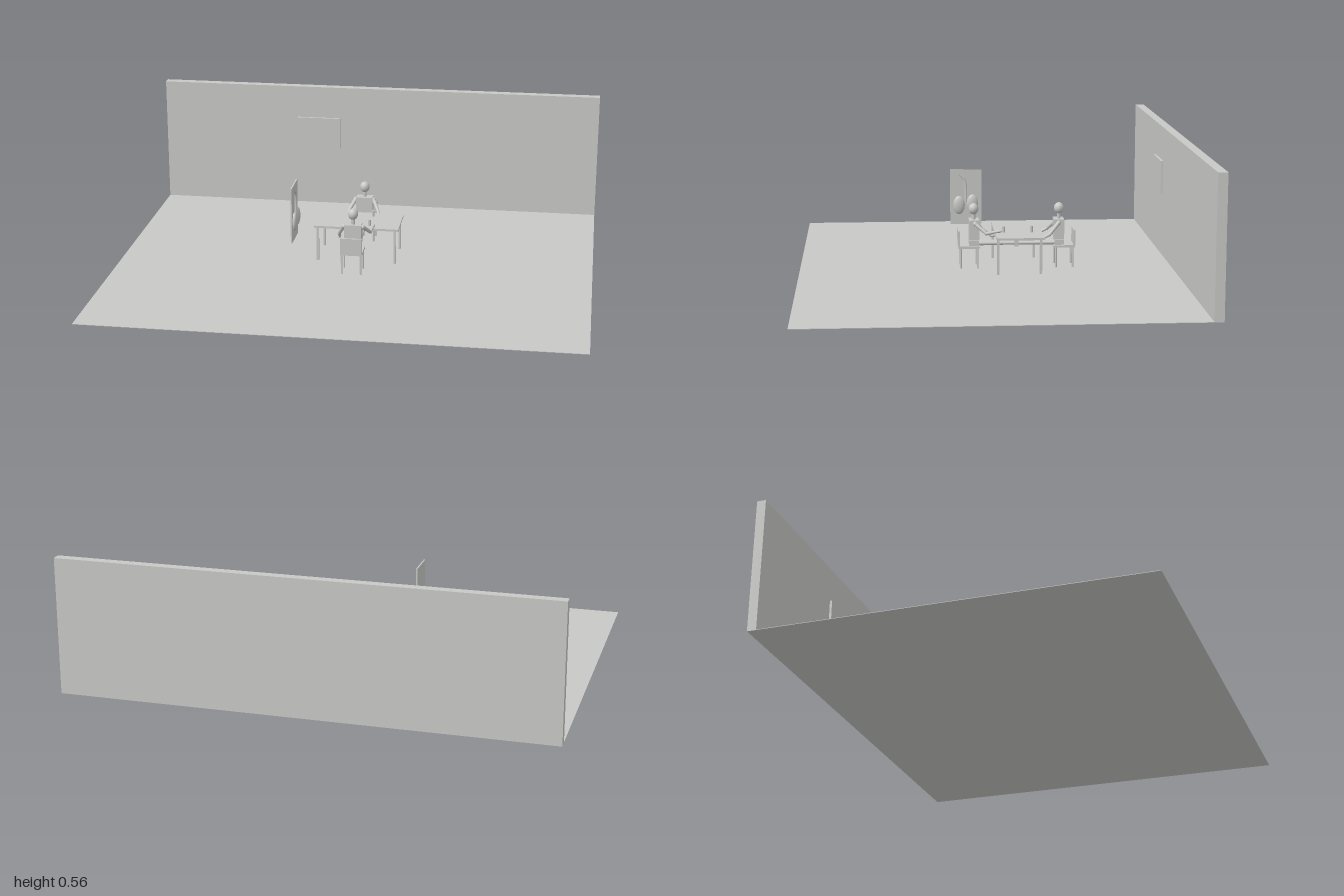
import * as THREE from 'three';

const clay = new THREE.MeshStandardMaterial({ color: 0xc8c8c6 });
clay.name = 'pale grey';

function add(parent, name, geometry, x = 0, y = 0, z = 0) {
  const mesh = new THREE.Mesh(geometry, clay);
  mesh.name = name;
  mesh.position.set(x, y, z);
  parent.add(mesh);
  return mesh;
}

// Box given by its ranges along each axis
function box(parent, name, x0, x1, y0, y1, z0, z1) {
  return add(parent, name, new THREE.BoxGeometry(x1 - x0, y1 - y0, z1 - z0),
    (x0 + x1) / 2, (y0 + y1) / 2, (z0 + z1) / 2);
}

// Round limb between two points
function limb(parent, name, a, b, r0, r1) {
  const from = new THREE.Vector3(...a), to = new THREE.Vector3(...b);
  const dir = to.clone().sub(from);
  const mesh = add(parent, name, new THREE.CylinderGeometry(r1, r0, dir.length(), 12));
  mesh.position.copy(from).add(to).multiplyScalar(0.5);
  mesh.quaternion.setFromUnitVectors(new THREE.Vector3(0, 1, 0), dir.normalize());
  return mesh;
}

function ball(parent, name, x, y, z, rx, ry = rx, rz = rx) {
  const mesh = add(parent, name, new THREE.SphereGeometry(1, 20, 14), x, y, z);
  mesh.scale.set(rx, ry, rz);
  return mesh;
}

function makeChair() {
  const chair = new THREE.Group();
  chair.name = 'chair';
  box(chair, 'seat', -0.046, 0.046, 0.087, 0.097, 0.155, 0.245);
  box(chair, 'chairBack', -0.046, 0.046, 0.097, 0.162, 0.239, 0.247);
  for (const x of [-0.04, 0.04])
    for (const z of [0.165, 0.236])
      add(chair, 'chairLeg', new THREE.CylinderGeometry(0.004, 0.004, 0.087, 10), x, 0.0435, z);
  return chair;
}

// Seated figure facing -z, with straight legs below the table
function makeFigure(arms) {
  const figure = new THREE.Group();
  figure.name = 'figure';
  box(figure, 'hips', -0.035, 0.035, 0.087, 0.12, 0.16, 0.2);
  box(figure, 'torso', -0.036, 0.036, 0.122, 0.205, 0.158, 0.2);
  limb(figure, 'neck', [0, 0.2, 0.18], [0, 0.235, 0.18], 0.008, 0.008);
  ball(figure, 'head', 0, 0.249, 0.18, 0.021, 0.024, 0.021);
  for (const x of [-0.016, 0.016]) {
    limb(figure, 'leg', [x, 0.104, 0.165], [x, 0.104, 0.005], 0.009, 0.007);
    box(figure, 'foot', x - 0.007, x + 0.007, 0.09, 0.135, -0.006, 0.008);
  }
  for (const [shoulder, elbow, hand] of arms) {
    ball(figure, 'shoulder', ...shoulder, 0.01);
    limb(figure, 'upperArm', shoulder, elbow, 0.009, 0.007);
    ball(figure, 'elbow', ...elbow, 0.0075);
    limb(figure, 'forearm', elbow, hand, 0.007, 0.005);
    ball(figure, 'hand', ...hand, 0.007, 0.006, 0.012);
  }
  return figure;
}

export function createModel() {
  const room = new THREE.Group();
  room.name = 'room';

  // Floor planks and back wall
  for (let i = 0; i < 10; i++)
    box(room, 'floorPlank', -1 + i * 0.2, -0.8 + i * 0.2, 0, 0.002, -0.8, 0.8);
  box(room, 'backWall', -1, 1, 0, 0.56, -0.8, -0.762);
  box(room, 'wallPicture', -0.38, -0.18, 0.272, 0.415, -0.762, -0.752);

  // Table with two cups
  const table = new THREE.Group();
  table.name = 'table';
  room.add(table);
  box(table, 'tableTop', -0.18, 0.18, 0.148, 0.157, -0.214, -0.016);
  for (const x of [-0.165, 0.165])
    for (const z of [-0.2, -0.022])
      box(table, 'tableLeg', x - 0.005, x + 0.005, 0, 0.148, z - 0.005, z + 0.005);
  for (const z of [-0.17, -0.053])
    add(table, 'cup', new THREE.CylinderGeometry(0.006, 0.006, 0.026, 16), 0.053, 0.17, z);

  // Two diners facing each other; one rests a hand on the table
  const lowArm = s => [[s * 0.04, 0.192, 0.175], [s * 0.066, 0.148, 0.135], [s * 0.068, 0.13, 0.1]];
  const raisedArm = [[0.04, 0.192, 0.175], [0.066, 0.155, 0.13], [0.072, 0.165, 0.078]];
  const droppedArm = [[-0.04, 0.192, 0.175], [-0.064, 0.148, 0.14], [-0.07, 0.118, 0.097]];
  [[0, [raisedArm, droppedArm]], [Math.PI, [lowArm(1), lowArm(-1)]]].forEach(([turn, arms]) => {
    const diner = new THREE.Group();
    diner.name = 'diner';
    diner.position.z = -0.11;
    diner.rotation.y = turn;
    diner.add(makeChair(), makeFigure(arms));
    room.add(diner);
  });

  // Standing panel with two oval bodies and a bent stem
  const panel = new THREE.Group();
  panel.name = 'displayPanel';
  room.add(panel);
  box(panel, 'panelBoard', -0.249, -0.243, 0.137, 0.376, 0.023, 0.158);
  ball(panel, 'ovalBody', -0.238, 0.222, 0.12, 0.013, 0.04, 0.025);
  ball(panel, 'ovalBody', -0.238, 0.228, 0.062, 0.013, 0.04, 0.025);
  const stem = new THREE.CatmullRomCurve3([
    [-0.238, 0.357, 0.116], [-0.238, 0.335, 0.098], [-0.238, 0.31, 0.092], [-0.238, 0.235, 0.09],
  ].map(p => new THREE.Vector3(...p)));
  add(panel, 'bentStem', new THREE.TubeGeometry(stem, 24, 0.006, 10));

  return room;
}
